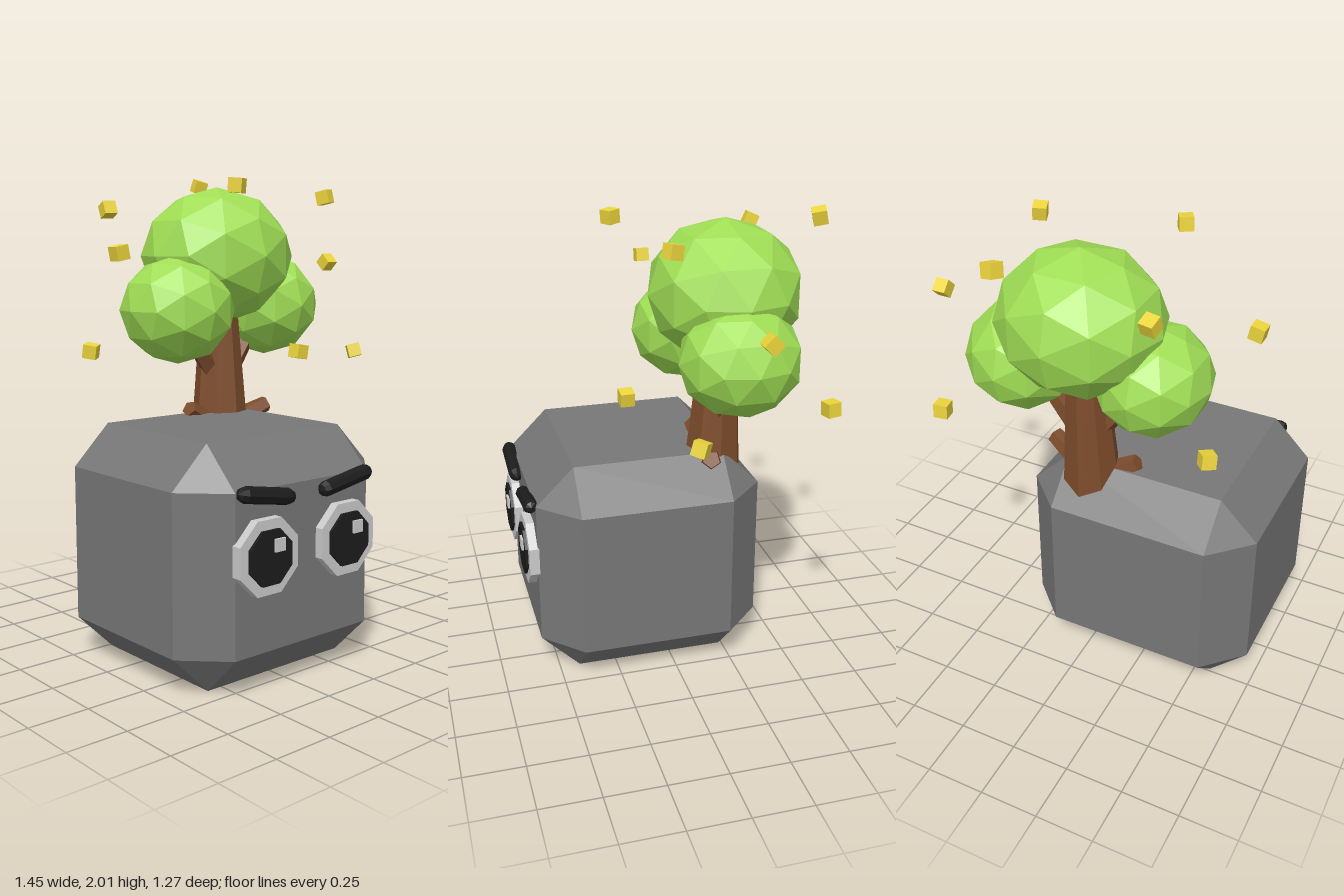
import * as THREE from 'three';
import { ConvexGeometry } from 'three/addons/geometries/ConvexGeometry.js';

const mat = (color) => new THREE.MeshStandardMaterial({ color, flatShading: true });
const V = (x, y, z) => new THREE.Vector3(x, y, z);

export function createModel() {
  const model = new THREE.Group();
  const stone = mat(0x777777), black = mat(0x1c1c1c), white = mat(0xcccccc);
  const bark = mat(0x7d4c2b), leaf = mat(0xa0de55), gold = mat(0xecd53c);

  const add = (name, geometry, material, x, y, z, parent = model) => {
    const mesh = new THREE.Mesh(geometry, material);
    mesh.name = name;
    mesh.position.set(x, y, z);
    parent.add(mesh);
    return mesh;
  };

  // Tapered limb from point a to point b
  const limb = (name, a, b, ra, rb, sides) => {
    const dir = b.clone().sub(a);
    const mid = a.clone().add(b).multiplyScalar(0.5);
    const mesh = add(name, new THREE.CylinderGeometry(rb, ra, dir.length(), sides), bark, mid.x, mid.y, mid.z);
    mesh.quaternion.setFromUnitVectors(V(0, 1, 0), dir.normalize());
    return mesh;
  };

  // Stone block with bevelled edges and triangular corners
  const [hx, hy, hz, c] = [0.51, 0.481, 0.489, 0.164];
  const corners = [];
  for (const sx of [-1, 1]) for (const sy of [-1, 1]) for (const sz of [-1, 1]) {
    corners.push(
      V(sx * hx, sy * (hy - c), sz * (hz - c)),
      V(sx * (hx - c), sy * hy, sz * (hz - c)),
      V(sx * (hx - c), sy * (hy - c), sz * hz));
  }
  add('stoneBody', new ConvexGeometry(corners), stone, -0.22, hy, 0.088);

  // Octagonal eyes and slanted brows
  const disc = (apothem, depth) =>
    new THREE.CylinderGeometry(apothem / Math.cos(Math.PI / 8), apothem / Math.cos(Math.PI / 8), depth, 8, 1, false, Math.PI / 8)
      .rotateX(Math.PI / 2);
  for (const [side, x, tilt] of [['right', -0.43, -0.17], ['left', -0.012, 0.17]]) {
    const eye = new THREE.Group();
    eye.name = side + 'Eye';
    eye.position.set(x, 0.545, 0);
    model.add(eye);
    add('eyeWhite', disc(0.144, 0.055), white, 0, 0, 0.586, eye);
    add('pupil', disc(0.105, 0.05), black, 0, 0, 0.6, eye);
    add('glint', new THREE.BoxGeometry(0.05, 0.05, 0.03), white, 0.037, 0.045, 0.62, eye);
    const brow = new THREE.CapsuleGeometry(0.033, 0.215, 2, 8).rotateZ(Math.PI / 2);
    add(side + 'Brow', brow, black, x, 0.775, 0.594).rotation.z = tilt;
  }

  // Trunk, roots and forking branches
  limb('trunk', V(0.022, 0.84, -0.22), V(0.035, 1.45, -0.24), 0.128, 0.08, 8);
  limb('rightRoot', V(-0.03, 0.9, -0.21), V(-0.175, 0.99, -0.19), 0.05, 0.037, 5);
  limb('leftRoot', V(0.08, 0.91, -0.2), V(0.24, 0.98, -0.15), 0.05, 0.037, 5);
  limb('rightBranch', V(-0.01, 1.13, -0.22), V(-0.2, 1.38, -0.2), 0.05, 0.04, 5);
  limb('leftBranch', V(0.07, 1.12, -0.23), V(0.26, 1.38, -0.24), 0.05, 0.04, 5);

  // Leaf crown: faceted balls given as position, then radii
  for (const [name, p, r] of [
    ['topLeaves', [0.04, 1.645, -0.255], [0.345, 0.3, 0.325]],
    ['rightLeaves', [-0.238, 1.42, -0.185], [0.242, 0.23, 0.255]],
    ['leftLeaves', [0.305, 1.428, -0.24], [0.24, 0.23, 0.255]],
  ]) {
    add(name, new THREE.IcosahedronGeometry(1, 1), leaf, ...p).scale.set(...r);
  }

  // Small cubes floating around the crown
  const cubes = [
    [-0.61, 1.66, -0.07], [-0.55, 1.25, -0.377], [-0.366, 1.845, -0.506], [-0.203, 1.925, 0.165],
    [0.207, 1.965, -0.59], [0.39, 1.9, 0.063], [0.695, 1.615, -0.222], [0.515, 1.27, -0.549],
    [0.634, 1.21, 0.02], [0.122, 1.247, 0.183],
  ];
  const cube = new THREE.BoxGeometry(0.058, 0.058, 0.058);
  cubes.forEach((p, i) => {
    const mesh = add('floatingCube' + (i + 1), cube, gold, ...p);
    if (i === 6) mesh.rotation.x = Math.PI / 4;
    else mesh.rotation.set(0.25 * Math.sin(i * 2.1), i * 0.7, 0.2 * Math.cos(i * 1.7));
  });

  return model;
}
